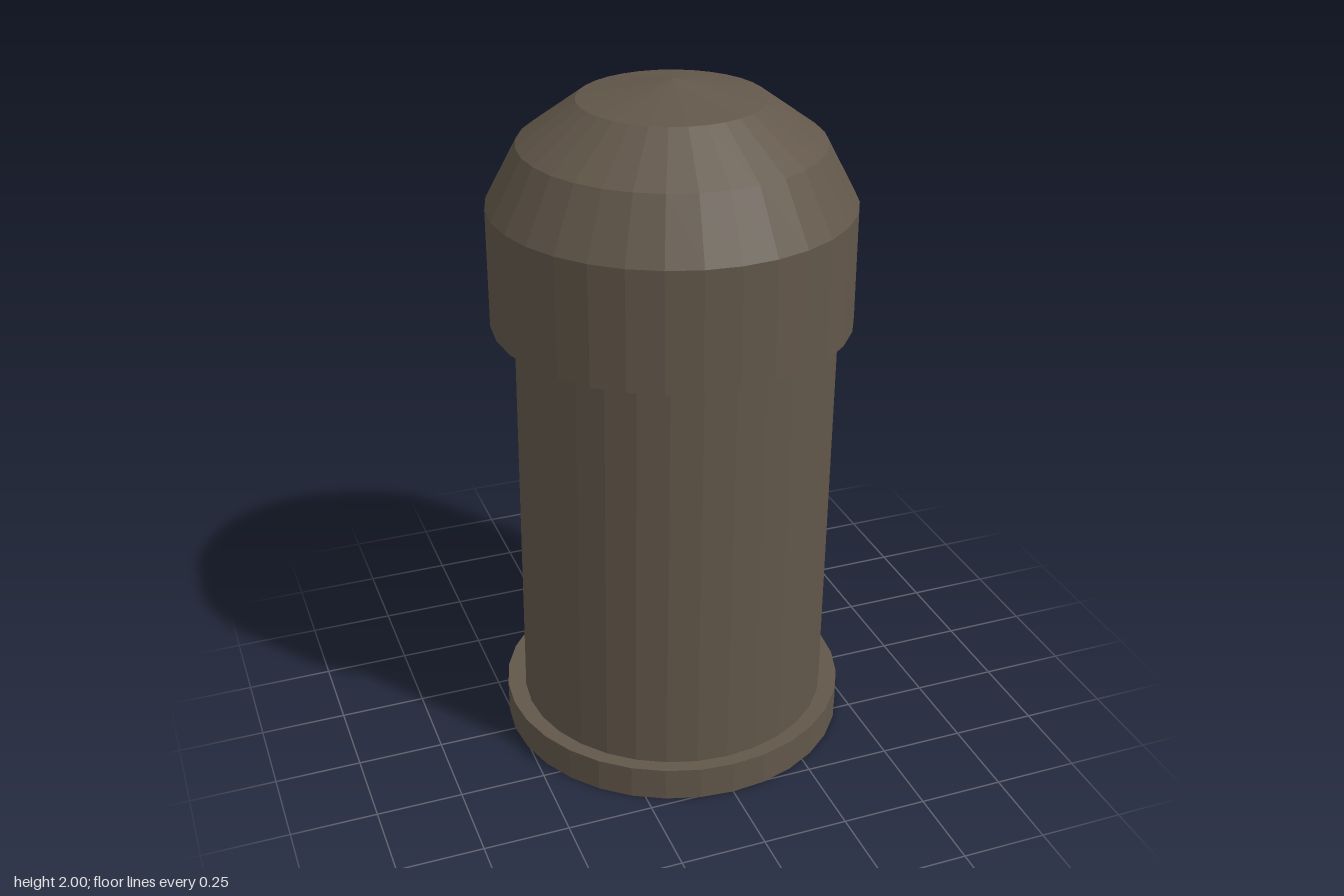
import * as THREE from 'three';

const SIDES = 32;
const CX = 0.008, CZ = 0.014;                    // upper body axis, slightly off centre
const MID = THREE.MathUtils.degToRad(39);        // panel direction, from +x towards -z
const HALF = THREE.MathUtils.degToRad(26);       // panel half angle

const flat = (geometry) => {
  const g = geometry.index ? geometry.toNonIndexed() : geometry;
  g.computeVertexNormals();
  return g;
};

const lathe = (points) =>
  flat(new THREE.LatheGeometry(points.map(([r, y]) => new THREE.Vector2(r, y)), SIDES));

// Moves every vertex by a rule that edits the vector in place
function warp(geometry, rule) {
  const p = geometry.attributes.position, v = new THREE.Vector3();
  for (let i = 0; i < p.count; i++) {
    v.fromBufferAttribute(p, i);
    rule(v);
    p.setXYZ(i, v.x, v.y, v.z);
  }
  return geometry;
}

export function createModel() {
  const brown = new THREE.MeshStandardMaterial({ color: 0x62574a });
  brown.name = 'weathered brown';
  const dark = new THREE.MeshStandardMaterial({ color: 0x333434 });
  dark.name = 'dark grey';

  const model = new THREE.Group();
  model.name = 'domedCanister';
  const add = (name, geometry, material, parent = model) => {
    const mesh = new THREE.Mesh(geometry, material);
    mesh.name = name;
    parent.add(mesh);
    return mesh;
  };

  // Base ring with a dark underside
  add('base', lathe([[0.515, 0], [0.515, 0.1], [0, 0.1]]), brown);
  const underside = new THREE.CircleGeometry(0.515, SIDES).rotateX(Math.PI / 2);
  add('underside', underside, dark);

  // Body, leaning very slightly towards +x
  const body = lathe([[0.459, 0.08], [0.459, 1.32]]);
  warp(body, (v) => {
    v.x += THREE.MathUtils.lerp(-0.006, CX, v.y / 1.3);
    v.z += CZ;
  });
  body.computeVertexNormals();
  add('body', body, brown);

  // Domed lid
  add('lid', lathe([
    [0, 1.3], [0.45, 1.3], [0.515, 1.315], [0.515, 1.66],
    [0.425, 1.83], [0.26, 1.95], [0, 2],
  ]), brown);

  // Curved control panel; local +z points away from the body
  const panel = new THREE.Group();
  panel.name = 'controlPanel';
  panel.position.set(CX, 0, CZ);
  panel.rotation.y = Math.PI / 2 + MID;
  model.add(panel);

  // Frame with parallel sides and a front that slopes in to the plate
  const frame = warp(new THREE.BoxGeometry(2, 2, 1, 26, 20, 1), (v) => {
    const rim = Math.max((Math.abs(v.x) - 0.77) / 0.23, (Math.abs(v.y) - 0.65) / 0.35);
    const radius = v.z > 0 ? THREE.MathUtils.lerp(0.49, 0.5, THREE.MathUtils.clamp(rim, 0, 1)) : 0.44;
    const side = 0.5 * Math.sin(v.x * HALF);
    v.set(side, 1.085 + 0.215 * v.y, Math.sqrt(radius * radius - side * side));
  });
  frame.computeVertexNormals();
  add('panelFrame', frame, brown, panel);

  // Dark plate with rounded corners
  const plate = warp(new THREE.PlaneGeometry(2, 2, 40, 1), (v) => {
    const corner = 0.025;
    const inset = Math.max(0, Math.abs(v.x) * 0.173 - (0.173 - corner));
    const half = 0.142 - corner + Math.sqrt(Math.max(0, corner * corner - inset * inset));
    const a = v.x * HALF * 0.77;
    v.set(0.494 * Math.sin(a), 1.08 + half * v.y, 0.494 * Math.cos(a));
  });
  plate.computeVertexNormals();
  add('panelPlate', plate, dark, panel);

  // Small round button
  add('button', new THREE.SphereGeometry(0.026, 16, 10), brown, panel).position.set(0, 1.09, 0.49);

  return model;
}
